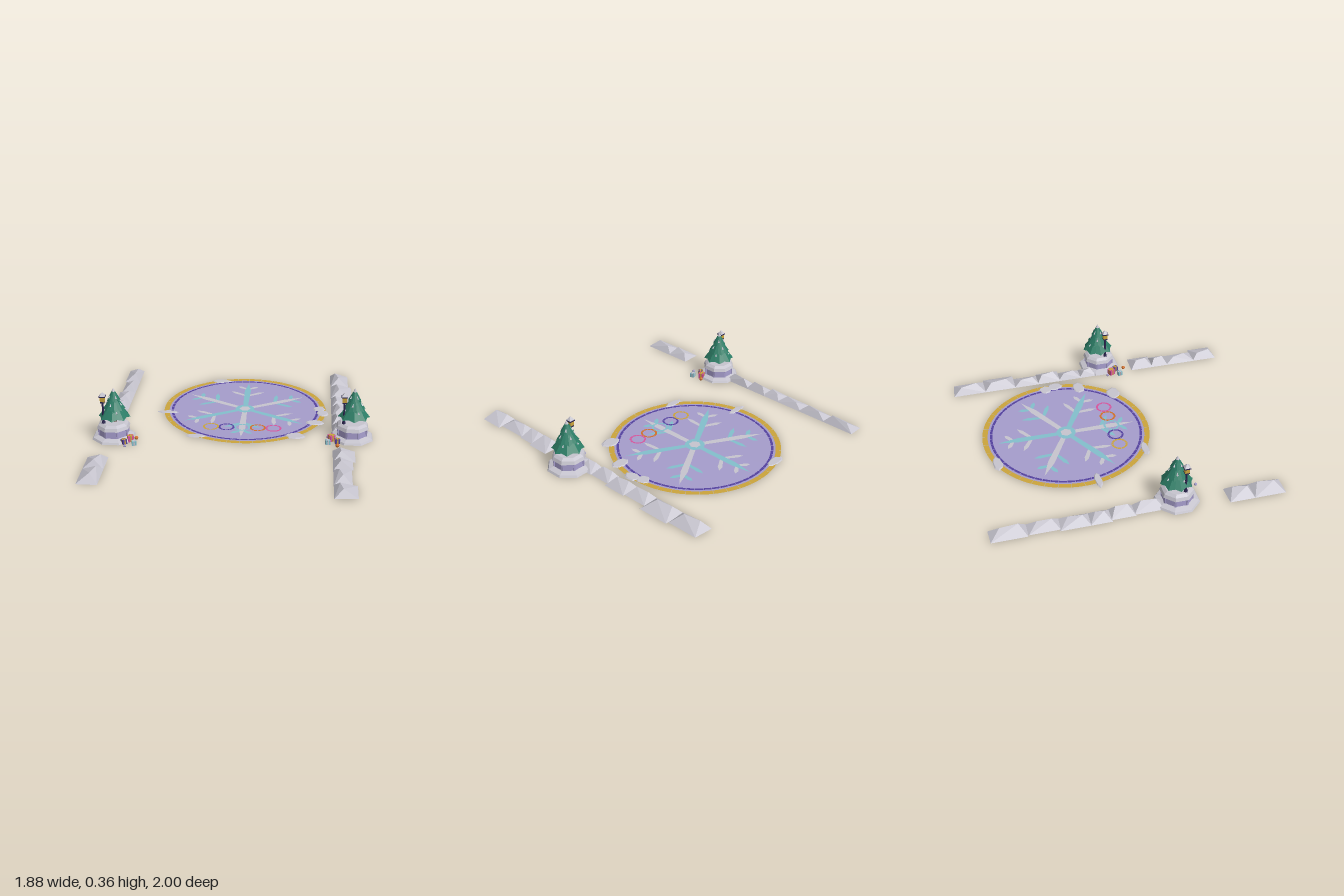
import * as THREE from 'three';
import { mergeGeometries } from 'three/addons/utils/BufferGeometryUtils.js';
import { ConvexGeometry } from 'three/addons/geometries/ConvexGeometry.js';

const paint = (name, color, side = THREE.FrontSide) => {
  const m = new THREE.MeshStandardMaterial({ color, side, flatShading: true });
  m.name = name;
  return m;
};

export function createModel() {
  const M = {
    lavender: paint('lavender ice', 0xa59ccb, THREE.DoubleSide),
    snow: paint('snow grey', 0xc6c4ce),
    gold: paint('gold', 0xcaa43c, THREE.DoubleSide),
    purple: paint('purple', 0x53419f),
    cyan: paint('pale cyan', 0x83bfcc),
    orange: paint('orange', 0xcf702b),
    pink: paint('pink', 0xd6549c),
    green: paint('fir green', 0x2c7d66),
    navy: paint('dark navy', 0x2b2550),
    brown: paint('bark brown', 0x5c4033),
  };
  const root = new THREE.Group();
  root.name = 'winterPlaza';

  let seed = 7;
  const rnd = (a, b) => {
    seed = (seed * 16807) % 2147483647;
    return a + (b - a) * (seed / 2147483647);
  };
  const add = (parent, name, geo, mat, x = 0, y = 0, z = 0, ry = 0) => {
    const mesh = new THREE.Mesh(geo, mat);
    mesh.name = name;
    mesh.position.set(x, y, z);
    mesh.rotation.y = ry;
    parent.add(mesh);
    return mesh;
  };
  const group = (name, x, z) => {
    const g = new THREE.Group();
    g.name = name;
    g.position.set(x, 0, z);
    root.add(g);
    return g;
  };

  // Ring of n flat tiles with small gaps, facing up
  const tiledRing = (rIn, rOut, n, fill) => {
    const step = (Math.PI * 2) / n;
    const tiles = [];
    for (let i = 0; i < n; i++) tiles.push(new THREE.RingGeometry(rIn, rOut, 3, 1, i * step, step * fill));
    return mergeGeometries(tiles).rotateX(-Math.PI / 2);
  };
  // Flat polygon facing up; shape y points to the back
  const plate = (pts) =>
    new THREE.ShapeGeometry(new THREE.Shape(pts.map((p) => new THREE.Vector2(...p)))).rotateX(-Math.PI / 2);

  // Ice rink
  const rink = group('rink', 0.05, -0.31);
  add(rink, 'iceDisc', new THREE.CircleGeometry(0.548, 64).rotateX(-Math.PI / 2), M.lavender, 0, 0.001);
  add(rink, 'goldBorder', tiledRing(0.542, 0.578, 40, 0.965), M.gold, 0, 0.002);
  add(rink, 'purpleBorder', tiledRing(0.51, 0.527, 60, 0.93), M.purple, 0, 0.002);

  // Snowflake: a tapered arm with pairs of slanted spikes, colours alternating
  const spike = (len, w) => plate([[-w * 0.35, 0], [w * 0.35, 0], [w / 2, len * 0.7], [0, len], [-w / 2, len * 0.7]]);
  for (let i = 0; i < 6; i++) {
    const arm = new THREE.Group();
    arm.name = 'snowflakeArm';
    arm.rotation.y = (i * Math.PI) / 3;
    rink.add(arm);
    const [main, side] = i % 2 ? [M.snow, M.cyan] : [M.cyan, M.snow];
    add(arm, 'armSpine', spike(0.48, 0.046), main, 0, 0.003);
    for (const s of [-1, 1])
      for (const [d, len] of [[0.24, 0.15], [0.37, 0.09]])
        add(arm, 'armBranch', spike(len, 0.03), side, 0, 0.002, -d, s * 0.98);
  }
  const hexagon = (r) => new THREE.CircleGeometry(r, 6).rotateX(-Math.PI / 2);
  add(rink, 'flakeHub', new THREE.CircleGeometry(0.068, 12).rotateX(-Math.PI / 2), M.cyan, 0, 0.004);
  add(rink, 'flakeCore', hexagon(0.04), M.snow, 0, 0.005);

  // Row of coloured hoops painted on the ice
  [M.gold, M.purple, M.cyan, M.orange, M.pink].forEach((mat, i) =>
    add(rink, 'paintedHoop', tiledRing(0.042, 0.056, 12, 0.92), mat, (i - 2) * 0.108, 0.004, 0.325));

  // Flat snow patches on the rim: x, z, half width, half depth
  for (const [x, z, w, d] of [[-0.16, -0.825, 0.08, 0.038], [-0.49, -0.217, 0.09, 0.026], [0.585, -0.345, 0.05, 0.055],
    [0.605, -0.27, 0.052, 0.062], [0.55, -0.105, 0.075, 0.048], [0.41, 0.125, 0.078, 0.055], [-0.26, 0.17, 0.085, 0.03]]) {
    const pts = [];
    for (let i = 0; i < 8; i++) {
      const a = (i * Math.PI) / 4 + rnd(-0.2, 0.2), k = rnd(0.8, 1.05);
      pts.push(new THREE.Vector3(Math.cos(a) * w * k, 0, Math.sin(a) * d * k));
      pts.push(new THREE.Vector3(Math.cos(a) * w * k * 0.8, 0.006, Math.sin(a) * d * k * 0.8));
    }
    add(root, 'snowPatch', new ConvexGeometry(pts), M.snow, x, 0, z);
  }

  // Snow banks: hipped chunks, steep and straight on the inner side
  const bankChunk = (inner, outer, z0, z1) => {
    const h = rnd(0.042, 0.058), len = z1 - z0, w = outer - inner;
    const V = (u, y, t) => new THREE.Vector3(inner + w * u, y, z0 + len * t);
    const geo = new ConvexGeometry([
      V(0, 0, 0), V(1, 0, rnd(0, 0.06)), V(0, 0, 1), V(1, 0, rnd(0.95, 1)),
      V(rnd(0.25, 0.35), h * rnd(0.8, 0.95), rnd(0.24, 0.34)), V(rnd(0.35, 0.5), h, rnd(0.66, 0.78)),
    ]);
    add(root, 'snowBank', geo, M.snow);
  };
  for (const [o, a, b] of [[-0.895, -1, -0.755], [-0.885, -0.77, -0.545], [-0.9, -0.565, -0.355], [-0.9, -0.37, -0.22],
    [-0.885, -0.24, -0.07], [-0.875, -0.085, 0.13], [-0.92, 0.54, 0.715], [-0.92, 0.7, 0.925]]) bankChunk(-0.785, o, a, b);
  for (const [o, a, b] of [[0.8, -1, -0.765], [0.82, -0.775, -0.545], [0.78, -0.555, -0.37], [0.793, -0.385, -0.21],
    [0.77, -0.225, -0.05], [0.775, -0.065, 0.06], [0.813, 0.335, 0.505], [0.795, 0.49, 0.62], [0.785, 0.61, 0.835],
    [0.815, 0.82, 1]]) bankChunk(0.667, o, a, b);

  // Octagonal prism with flat side to the front
  const octagon = (rTop, rBottom, h) => new THREE.CylinderGeometry(rTop, rBottom, h, 8).rotateY(Math.PI / 8);

  // Gift box with crossed ribbons
  const gift = (parent, x, z, s, box, ribbon, ry) => {
    const g = new THREE.Group();
    g.name = 'gift';
    g.position.set(x, 0, z);
    g.rotation.y = ry;
    parent.add(g);
    add(g, 'giftBox', new THREE.BoxGeometry(s, s, s), box, 0, s / 2);
    add(g, 'giftRibbon', new THREE.BoxGeometry(s * 0.28, s * 1.06, s * 1.06), ribbon, 0, s * 0.53);
    add(g, 'giftRibbon', new THREE.BoxGeometry(s * 1.06, s * 1.06, s * 0.28), ribbon, 0, s * 0.53);
  };

  // Planter with fir tree and lamp
  const planter = (x, z) => {
    const p = group('planter', x, z);
    add(p, 'planterUnderside', octagon(0.14, 0.14, 0.002), M.lavender, 0, 0.001);
    add(p, 'snowSkirt', octagon(0.142, 0.15, 0.013), M.snow, 0, 0.0085);
    add(p, 'snowSkirtTop', octagon(0.1, 0.142, 0.014), M.snow, 0, 0.022);
    add(p, 'planterBody', octagon(0.1, 0.104, 0.06), M.lavender, 0, 0.05);
    add(p, 'planterRim', octagon(0.105, 0.115, 0.022), M.snow, 0, 0.089);
    add(p, 'snowFill', octagon(0.085, 0.105, 0.015), M.snow, 0, 0.1075);
    for (let i = 0; i < 8; i++) {
      const a = (i * Math.PI) / 4 + Math.PI / 8;
      add(p, 'planterPost', new THREE.BoxGeometry(0.012, 0.05, 0.012), M.lavender,
        Math.sin(a) * 0.1, 0.053, Math.cos(a) * 0.1, a);
    }

    const t = new THREE.Group();
    t.name = 'firTree';
    t.position.set(0.008, 0, -0.005);
    p.add(t);
    add(t, 'trunk', new THREE.CylinderGeometry(0.014, 0.018, 0.06, 6), M.brown, 0, 0.135);
    // Tiers: radius, hem height, tier height
    [[0.108, 0.15, 0.14], [0.077, 0.205, 0.115], [0.047, 0.265, 0.088]].forEach(([r, y, h], k) => {
      const cone = new THREE.ConeGeometry(r, h, 16);
      const pos = cone.attributes.position;
      for (let i = 0; i < pos.count; i++) {
        const px = pos.getX(i), pz = pos.getZ(i);
        if (Math.hypot(px, pz) < r * 0.5) continue;
        const odd = Math.round((Math.atan2(pz, px) / Math.PI) * 8) & 1;
        if (odd) pos.setXYZ(i, px * 0.87, pos.getY(i) + 0.01, pz * 0.87);
      }
      add(t, 'firTier', cone, M.green, 0, y + h / 2, 0, k * 0.2);
      // Snow flecks lying on the boughs
      for (let i = 0; i < 4; i++) {
        const a = i * 1.57 + k * 0.9 + 0.4, f = 0.62;
        const fleck = add(t, 'snowFleck', new THREE.ConeGeometry(0.007, 0.026, 4), M.snow,
          Math.sin(a) * r * f, y + h * (1 - f), Math.cos(a) * r * f);
        fleck.rotation.set(-Math.atan2(r, h), a, 0, 'YXZ');
      }
    });
    add(t, 'snowTip', new THREE.ConeGeometry(0.013, 0.025, 8), M.snow, 0, 0.3435);

    const l = new THREE.Group();
    l.name = 'lamp';
    l.position.set(-0.06, 0, 0.035);
    p.add(l);
    add(l, 'lampFoot', new THREE.CylinderGeometry(0.011, 0.015, 0.02, 6), M.navy, 0, 0.12);
    add(l, 'lampPole', new THREE.CylinderGeometry(0.007, 0.007, 0.16, 6), M.navy, 0, 0.19);
    add(l, 'lampTray', new THREE.BoxGeometry(0.03, 0.008, 0.03), M.navy, 0, 0.268);
    add(l, 'lampGlass', new THREE.BoxGeometry(0.03, 0.036, 0.03), M.gold, 0, 0.29);
    add(l, 'lampRoof', new THREE.BoxGeometry(0.042, 0.008, 0.042), M.navy, 0, 0.309);
    add(l, 'lampSnow', new THREE.ConeGeometry(0.028, 0.025, 4).rotateY(Math.PI / 4), M.snow, 0, 0.3255);
  };
  planter(-0.805, 0.22);
  planter(0.8, 0.114);

  // Presents and baubles beside each planter
  const bauble = (x, z, r, mat) => add(root, 'bauble', new THREE.IcosahedronGeometry(r, 1), mat, x, r, z);
  gift(root, -0.683, 0.28, 0.04, M.pink, M.gold, 0.4);
  gift(root, -0.72, 0.325, 0.032, M.purple, M.gold, 0.7);
  gift(root, -0.65, 0.34, 0.03, M.cyan, M.snow, 0.25);
  bauble(-0.647, 0.255, 0.013, M.orange);
  bauble(-0.705, 0.38, 0.01, M.lavender);
  gift(root, 0.662, 0.175, 0.04, M.pink, M.gold, 0.5);
  gift(root, 0.7, 0.217, 0.032, M.purple, M.gold, 0.2);
  gift(root, 0.636, 0.235, 0.03, M.cyan, M.snow, 0.25);
  bauble(0.7, 0.28, 0.013, M.orange);
  bauble(0.638, 0.143, 0.01, M.lavender);

  return root;
}
